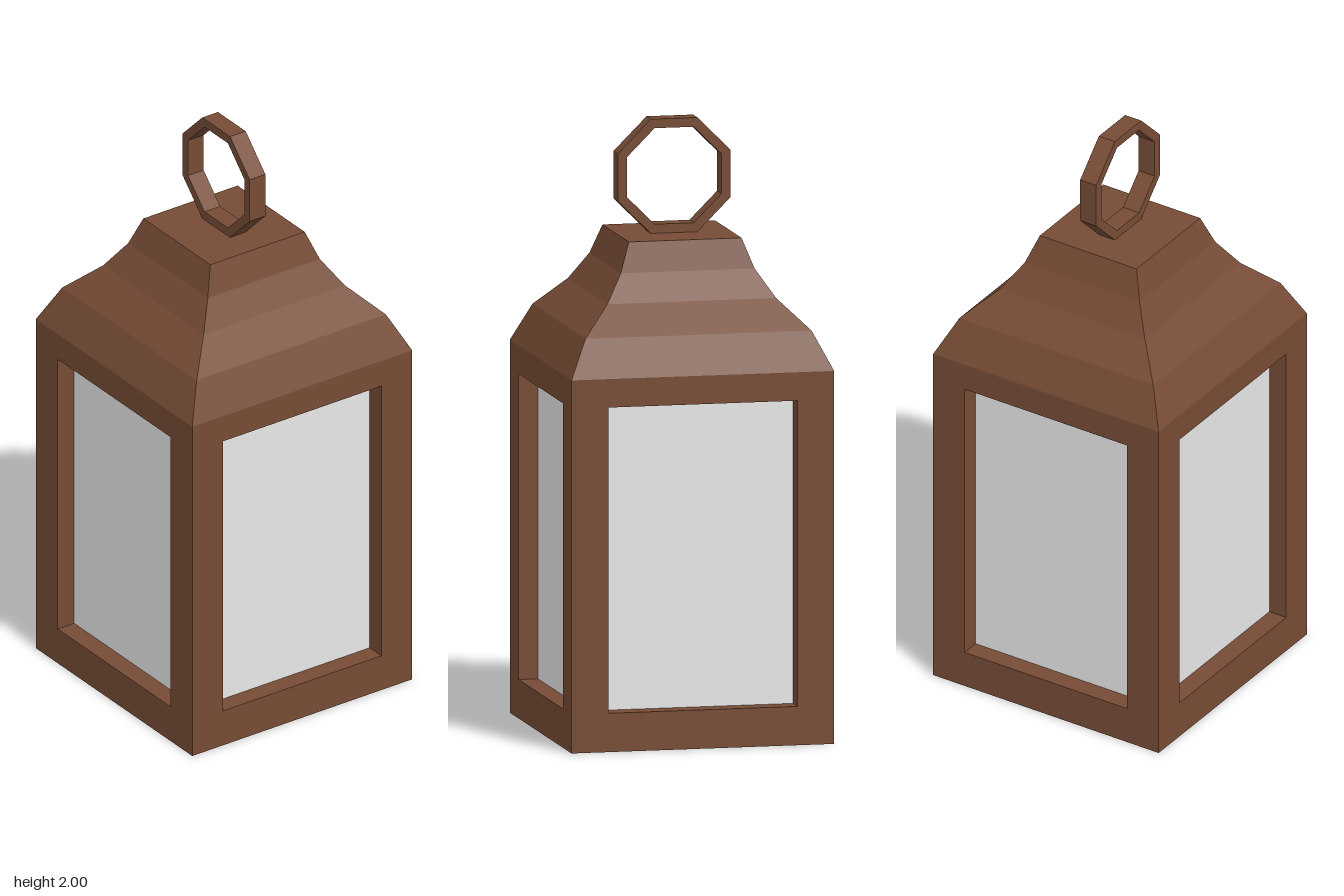
import * as THREE from 'three';

const HALF = 0.436;    // half width of the body
const EAVES = 1.22;    // top of the body
const RECESS = 0.065;  // depth of the panes behind the frame
const WIN = { x: 0.314, y0: 0.127, y1: 1.127 };

function flat(geometry) {
  const g = geometry.index ? geometry.toNonIndexed() : geometry;
  g.computeVertexNormals();
  return g;
}

function rectangle(target, x, y0, y1) {
  target.moveTo(-x, y0);
  target.lineTo(x, y0);
  target.lineTo(x, y1);
  target.lineTo(-x, y1);
  target.closePath();
  return target;
}

function octagon(target, apothem) {
  const r = apothem / Math.cos(Math.PI / 8);
  for (let i = 0; i < 8; i++) {
    const a = Math.PI / 8 + i * Math.PI / 4;
    target[i ? 'lineTo' : 'moveTo'](r * Math.cos(a), r * Math.sin(a));
  }
  target.closePath();
  return target;
}

export function createModel() {
  const lantern = new THREE.Group();
  lantern.name = 'lantern';

  const copper = new THREE.MeshStandardMaterial({ color: 0x764b35 });
  copper.name = 'brown metal';
  const glass = new THREE.MeshStandardMaterial({ color: 0xe7e7e7 });
  glass.name = 'pale glass';

  const add = (name, geometry, material) => {
    const mesh = new THREE.Mesh(geometry, material);
    mesh.name = name;
    lantern.add(mesh);
    return mesh;
  };

  // Four window frames, mitred so that they meet at the corners
  const outline = rectangle(new THREE.Shape(), HALF, 0, EAVES);
  outline.holes.push(rectangle(new THREE.Path(), WIN.x, WIN.y0, WIN.y1));
  const frame = new THREE.ExtrudeGeometry(outline, { depth: RECESS, bevelEnabled: false });
  frame.translate(0, 0, HALF - RECESS);
  const p = frame.attributes.position;
  for (let i = 0; i < p.count; i++) {
    const x = p.getX(i);
    if (Math.abs(x) > WIN.x + 0.01) p.setX(i, Math.sign(x) * p.getZ(i));
  }
  const frameGeometry = flat(frame);
  ['frontFrame', 'leftFrame', 'backFrame', 'rightFrame'].forEach((name, i) => {
    add(name, frameGeometry, copper).rotation.y = i * Math.PI / 2;
  });

  // Floor inside the frames
  const inner = 2 * (HALF - RECESS);
  add('floor', new THREE.BoxGeometry(inner, WIN.y0, inner), copper).position.y = WIN.y0 / 2;

  // Glass core showing through all four windows
  const paneHeight = WIN.y1 - WIN.y0;
  add('glassPanes', new THREE.BoxGeometry(inner, paneHeight, inner), glass)
    .position.y = (WIN.y0 + WIN.y1) / 2;

  // Square roof with a bell-shaped profile and a flat top
  const profile = [[HALF, EAVES], [0.375, 1.345], [0.28, 1.44], [0.222, 1.53], [0.187, 1.626], [0, 1.626]];
  const points = profile.map(([r, y]) => new THREE.Vector2(r * Math.SQRT2, y));
  add('roof', flat(new THREE.LatheGeometry(points, 4, Math.PI / 4)), copper);

  // Octagonal carrying ring
  const ring = octagon(new THREE.Shape(), 0.187);
  ring.holes.push(octagon(new THREE.Path(), 0.157));
  const ringGeometry = new THREE.ExtrudeGeometry(ring, { depth: 0.062, bevelEnabled: false });
  ringGeometry.translate(0, 0, -0.031);
  const handle = add('carryingRing', flat(ringGeometry), copper);
  handle.rotation.y = Math.PI / 2;
  handle.position.y = 1.813;

  return lantern;
}
